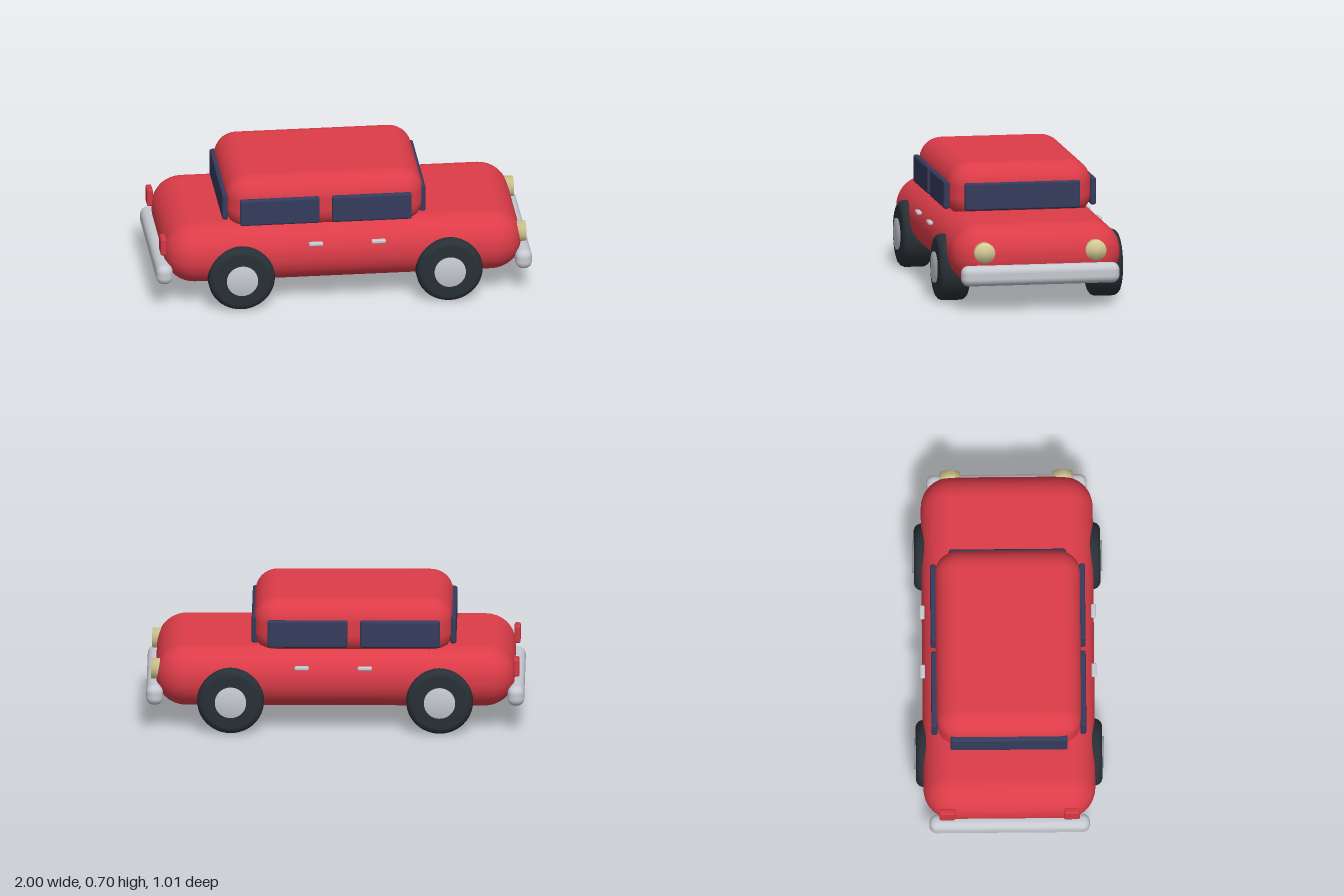
import * as THREE from 'three';
import { RoundedBoxGeometry } from 'three/addons/geometries/RoundedBoxGeometry.js';

const mat = (name, color) => new THREE.MeshStandardMaterial({ name, color });

export function createModel() {
  const car = new THREE.Group();
  car.name = 'car';
  const paint = mat('red paint', 0xdc3c48);
  const glass = mat('dark blue glass', 0x353b5c);
  const rubber = mat('black rubber', 0x283036);
  const chrome = mat('chrome', 0xc6c9d0);
  const lamp = mat('cream lamp', 0xd8cf98);
  const tail = mat('tail lamp red', 0xd43844);

  // Rounded box given by its limits on each axis
  function box(name, material, [x0, x1], [y0, y1], [z0, z1], radius, segments = 3) {
    const geo = new RoundedBoxGeometry(x1 - x0, y1 - y0, z1 - z0, segments, radius);
    const mesh = new THREE.Mesh(geo, material);
    mesh.name = name;
    mesh.position.set((x0 + x1) / 2, (y0 + y1) / 2, (z0 + z1) / 2);
    car.add(mesh);
    return mesh;
  }

  // Solid of revolution about y; profile runs from the bottom axis upward
  function turned(name, material, profile, segments = 40) {
    const points = profile.map(([r, h]) => new THREE.Vector2(r, h));
    const mesh = new THREE.Mesh(new THREE.LatheGeometry(points, segments), material);
    mesh.name = name;
    return mesh;
  }
  const disc = (r, h) => [[0, 0], [r, 0], [r, h], [0, h]];

  // Body and cabin
  box('body', paint, [-0.95, 0.95], [0.115, 0.445], [-0.455, 0.455], 0.16, 5);
  box('cabin', paint, [-0.62, 0.43], [0.395, 0.698], [-0.385, 0.385], 0.12, 4);

  // Windscreen and rear window
  box('windscreen', glass, [0.41, 0.443], [0.452, 0.6], [-0.31, 0.31], 0.012);
  box('rearWindow', glass, [-0.64, -0.607], [0.452, 0.6], [-0.31, 0.31], 0.012);

  // Bumpers
  box('frontBumper', chrome, [0.912, 1], [0.135, 0.243], [-0.425, 0.425], 0.04, 4);
  box('rearBumper', chrome, [-1, -0.912], [0.135, 0.243], [-0.425, 0.425], 0.04, 4);

  for (const side of [1, -1]) {
    const label = side > 0 ? 'front side' : 'back side';
    const span = (a, b) => (side > 0 ? [a, b] : [-b, -a]);

    // Side windows and door handles
    for (const x of [-0.343, 0.147]) {
      box(`${label} window`, glass, [x - 0.212, x + 0.212], [0.453, 0.601], span(0.378, 0.41), 0.012);
    }
    for (const x of [-0.157, 0.177]) {
      box(`${label} doorHandle`, chrome, [x - 0.038, x + 0.038], [0.344, 0.365], span(0.44, 0.467), 0.008);
    }

    // Headlamps and tail lamps
    const headlamp = turned('headlamp', lamp, disc(0.054, 0.055));
    headlamp.rotation.z = -Math.PI / 2;
    headlamp.position.set(0.92, 0.311, side * 0.299);
    car.add(headlamp);
    box('tailLamp', tail, [-0.974, -0.942], [0.288, 0.383], span(0.287, 0.372), 0.01);

    // Wheels: rounded tyre with a chrome hubcap
    for (const x of [-0.553, 0.553]) {
      const wheel = new THREE.Group();
      wheel.name = 'wheel';
      wheel.add(
        turned('tyre', rubber, [
          [0, -0.083], [0.142, -0.083], [0.157, -0.078], [0.17, -0.067], [0.177, -0.05],
          [0.177, 0.05], [0.17, 0.067], [0.157, 0.078], [0.142, 0.083], [0, 0.083],
        ], 48),
      );
      const hub = turned('hubcap', chrome, disc(0.083, 0.02));
      hub.position.y = 0.073;
      wheel.add(hub);
      wheel.rotation.x = side * Math.PI / 2;
      wheel.position.set(x, 0.177, side * 0.41);
      car.add(wheel);
    }
  }
  return car;
}
